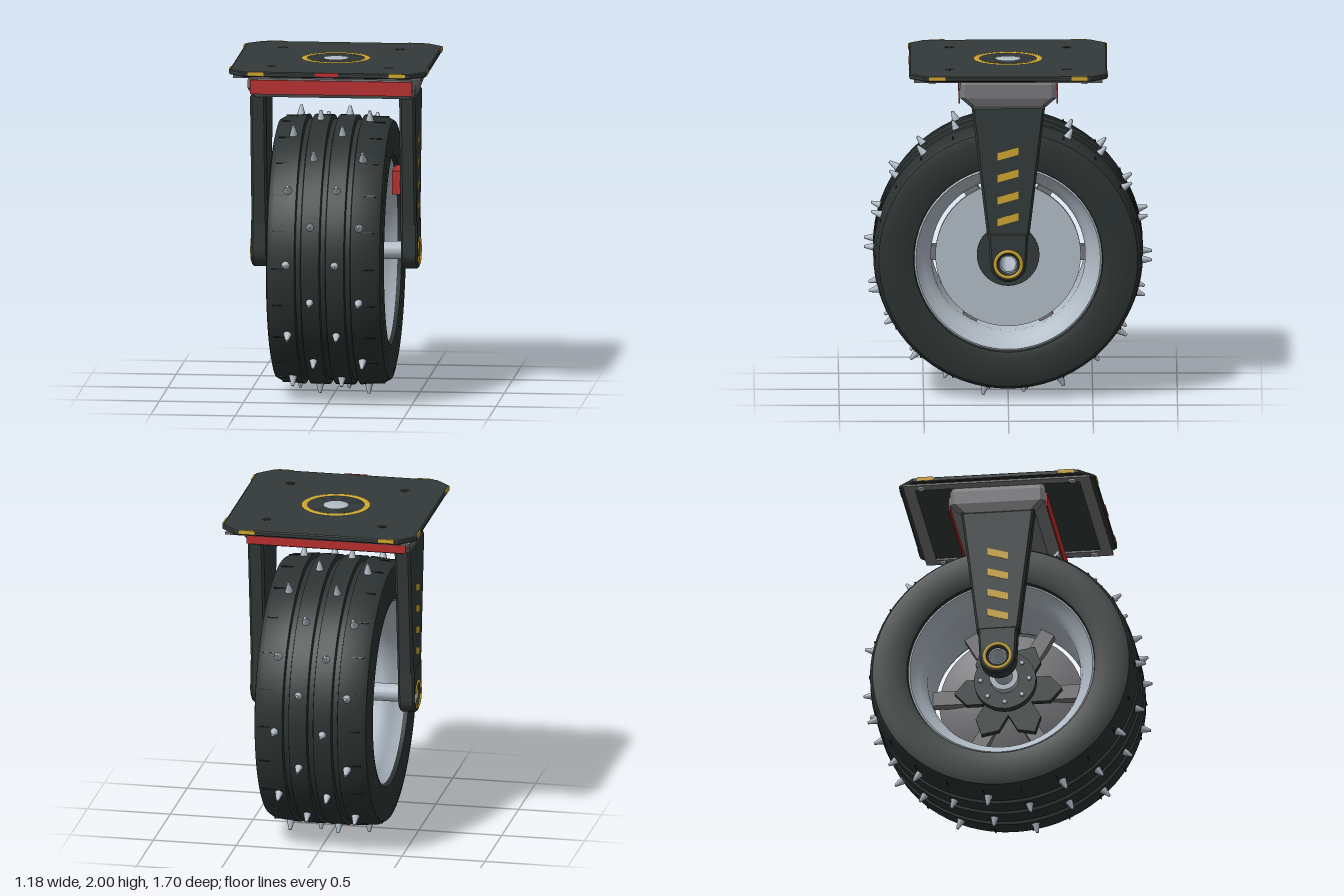
import * as THREE from 'three';
import { toCreasedNormals } from 'three/addons/utils/BufferGeometryUtils.js';
import { ConvexGeometry } from 'three/addons/geometries/ConvexGeometry.js';

const mat = (name, color) => Object.assign(new THREE.MeshStandardMaterial({ color }), { name });

export function createModel() {
  const rubber = mat('black rubber', 0x2b3231);
  const paint = mat('dark paint', 0x323a39);
  const black = mat('recess black', 0x1b1f1f);
  const silver = mat('silver', 0xb2bcc6);
  const grey = mat('grey steel', 0x77777a);
  const gold = mat('gold', 0xcfa62e);
  const red = mat('red', 0xb82e2e);

  const model = new THREE.Group();
  model.name = 'casterWheel';
  const wheel = new THREE.Group();
  wheel.name = 'wheel';
  wheel.position.y = 0.85;
  model.add(wheel);

  const add = (parent, name, geo, material, x = 0, y = 0, z = 0) => {
    const m = new THREE.Mesh(geo, material);
    m.name = name;
    m.position.set(x, y, z);
    parent.add(m);
    return m;
  };
  const box = (w, h, d) => new THREE.BoxGeometry(w, h, d);
  // Closed profile of [radius, x] points turned about the x axis
  const turned = (pts, seg = 64) => {
    const v = [...pts, pts[0]].map(([r, x]) => new THREE.Vector2(r, x));
    return toCreasedNormals(new THREE.LatheGeometry(v, seg).rotateZ(-Math.PI / 2), 0.6);
  };
  const ring = (r0, r1, x0, x1, seg) => turned([[r0, x0], [r1, x0], [r1, x1], [r0, x1]], seg);
  const polygon = pts => new THREE.Shape(pts.map(([a, b]) => new THREE.Vector2(a, b)));
  // Side profile given as (-z, y), extruded along x and centred on x = 0
  const sideExtrude = (shape, width, bevel) => new THREE.ExtrudeGeometry(shape, {
    depth: width - 2 * bevel, bevelEnabled: bevel > 0, bevelSize: bevel, bevelThickness: bevel,
    bevelOffset: -bevel, bevelSegments: 1, curveSegments: 20,
  }).translate(0, 0, bevel - width / 2).rotateY(Math.PI / 2);

  // Tyre with four ribs and three grooves
  const profile = [[0.55, -0.29], [0.56, -0.335], [0.6, -0.345], [0.72, -0.345], [0.765, -0.335], [0.785, -0.3]];
  for (const g of [-0.15, -0.003, 0.144]) {
    const r = 0.798;
    profile.push([r, g - 0.02], [r - 0.025, g - 0.014], [r - 0.025, g + 0.014], [r, g + 0.02]);
  }
  profile.push([0.785, 0.3], [0.765, 0.335], [0.72, 0.345], [0.6, 0.345], [0.56, 0.335], [0.55, 0.29]);
  add(wheel, 'tyre', turned(profile, 72), rubber);

  // Spikes in staggered rows, and cuts in the tyre shoulders
  const spikeGeo = new THREE.CylinderGeometry(0.008, 0.028, 0.07, 10).translate(0, 0.816, 0);
  const cutGeo = box(0.08, 0.006, 0.008).translate(0, 0.788, 0);
  const step = Math.PI / 11;
  const spikes = new THREE.Group();
  spikes.name = 'spikes';
  wheel.add(spikes);
  [-0.22, -0.08, 0.07, 0.21].forEach((x, row) => {
    for (let i = 0; i < 11; i++) {
      const t = Math.PI / 2 - 0.032 - (2 * i + row % 2) * step;
      add(spikes, 'spike', spikeGeo, silver, x).rotation.x = t;
    }
  });
  for (const s of [-1, 1]) {
    for (let i = 0; i < 22; i++) {
      add(wheel, 'shoulderCut', cutGeo, black, s * 0.265).rotation.x = (i + 0.5) * step;
    }
  }

  // Rim with dished lips, open through the middle
  add(wheel, 'rim', turned([
    [0.556, -0.31], [0.556, 0.31], [0.545, 0.315], [0.53, 0.29], [0.5, 0.25], [0.472, 0.225], [0.456, 0.18],
    [0.456, -0.18], [0.472, -0.225], [0.5, -0.25], [0.53, -0.29], [0.545, -0.315],
  ]), silver);

  // Wheel disc with its steel backing
  add(wheel, 'disc', ring(0.055, 0.43, 0.16, 0.19), silver);
  add(wheel, 'discBacking', turned([[0.055, 0.06], [0.2, 0.08], [0.35, 0.12], [0.43, 0.16], [0.055, 0.16]]), grey);

  // Six spokes joining hub and rim
  const rootShape = polygon([[-0.08, 0.1], [0.08, 0.1], [0.08, 0.25], [0, 0.32], [-0.08, 0.25]]);
  const rootGeo = sideExtrude(rootShape, 0.04, 0);
  const spokeGeo = box(0.06, 0.27, 0.09).translate(0, 0.33, 0);
  for (let i = 0; i < 6; i++) {
    const t = Math.PI / 2 + i * Math.PI / 3;
    add(wheel, 'spoke', spokeGeo, grey, 0.09).rotation.x = t;
    add(wheel, 'spokeRoot', rootGeo, paint, 0.02).rotation.x = t;
  }

  // Hub, bolted flanges and hollow axle
  add(wheel, 'hubBarrel', ring(0.055, 0.11, -0.14, 0.19, 32), paint);
  add(wheel, 'hubFlangeLeft', ring(0.05, 0.185, 0.185, 0.205, 40), paint);
  add(wheel, 'hubFlangeRight', ring(0.05, 0.185, -0.15, -0.1, 40), paint);
  add(wheel, 'bearingCollar', ring(0.05, 0.085, -0.2, -0.15, 32), silver);
  add(wheel, 'axle', ring(0.045, 0.053, -0.485, 0.485, 32), silver);
  const boltGeo = new THREE.CylinderGeometry(0.014, 0.014, 0.02, 6).rotateZ(Math.PI / 2);
  for (let i = 0; i < 8; i++) {
    const a = i * Math.PI / 4;
    add(wheel, 'hubBolt', boltGeo, silver, -0.156, 0.145 * Math.cos(a), 0.145 * Math.sin(a));
  }

  // Fork legs with axle ends and hazard stripes
  const legGeo = sideExtrude(polygon([[-0.125, 1.02], [0.125, 1.02], [0.218, 1.8], [-0.218, 1.8]]), 0.095, 0.014);
  const endShape = new THREE.Shape();
  endShape.moveTo(0.118, 1.04);
  endShape.lineTo(-0.118, 1.04);
  endShape.lineTo(-0.108, 0.85);
  endShape.absarc(0, 0.85, 0.108, Math.PI, Math.PI * 2, false);
  endShape.closePath();
  endShape.holes.push(new THREE.Path().absarc(0, 0.85, 0.053, 0, Math.PI * 2, true));
  const endGeo = sideExtrude(endShape, 0.1, 0.012);
  const stripeGeo = sideExtrude(polygon([[-0.063, -0.04], [0.06, -0.005], [0.06, 0.04], [-0.063, 0.005]]), 0.008, 0);
  const ringGeo = new THREE.TorusGeometry(0.078, 0.012, 8, 28).rotateY(Math.PI / 2);
  for (const s of [-1, 1]) {
    const fork = new THREE.Group();
    fork.name = s > 0 ? 'forkLegLeft' : 'forkLegRight';
    model.add(fork);
    add(fork, 'leg', legGeo, paint, s * 0.443);
    add(fork, 'axleEnd', endGeo, paint, s * 0.445);
    add(fork, 'axleRing', ringGeo, gold, s * 0.49, 0.85);
    for (const y of [1.12, 1.25, 1.383, 1.515]) add(fork, 'stripe', stripeGeo, gold, s * 0.49, y);
  }
  add(model, 'brakePad', box(0.055, 0.14, 0.22), red, 0.37, 1.27);

  // Swivel housing with tapered underside and red panels
  const corners = [];
  for (const [y, hx, hz] of [[1.79, 0.48, 0.22], [1.85, 0.5, 0.285], [1.93, 0.498, 0.285], [1.965, 0.485, 0.27]]) {
    for (const sx of [-1, 1]) {
      for (const sz of [-1, 1]) {
        corners.push(new THREE.Vector3(sx * hx, y, sz * (hz - 0.03)), new THREE.Vector3(sx * (hx - 0.02), y, sz * hz));
      }
    }
  }
  add(model, 'housing', new ConvexGeometry(corners), grey);
  for (const s of [-1, 1]) add(model, 'redPanel', box(0.96, 0.085, 0.009), red, 0, 1.86, s * 0.29);

  // Mounting plate with cut corners, over a square steel frame
  const h = 0.585, c = 0.495;
  const plateShape = polygon([[h, -c], [h, c], [c, h], [-c, h], [-h, c], [-h, -c], [-c, -h], [c, -h]]);
  const plateGeo = new THREE.ExtrudeGeometry(plateShape, {
    depth: 0.018, bevelSize: 0.008, bevelThickness: 0.006, bevelOffset: -0.008, bevelSegments: 1,
  }).rotateX(-Math.PI / 2);
  add(model, 'mountingPlate', plateGeo, paint, 0, 1.972);
  const square = k => [[-k, -k], [k, -k], [k, k], [-k, k]];
  const frameShape = polygon(square(0.557));
  frameShape.holes.push(polygon(square(0.49)));
  const frameGeo = new THREE.ExtrudeGeometry(frameShape, { depth: 0.012, bevelEnabled: false }).rotateX(-Math.PI / 2);
  add(model, 'underFrame', frameGeo, grey, 0, 1.955);

  // Bolts, edge marks and the swivel cap
  const recessGeo = new THREE.CylinderGeometry(0.028, 0.028, 0.004, 8);
  const nutGeo = new THREE.CylinderGeometry(0.022, 0.022, 0.014, 6);
  for (const sx of [-1, 1]) {
    for (const sz of [-1, 1]) {
      add(model, 'boltRecess', recessGeo, black, sx * 0.347, 1.995, sz * 0.347);
      add(model, 'frameBolt', nutGeo, silver, sx * 0.52, 1.952, sz * 0.45);
      add(model, 'edgeMark', box(0.096, 0.024, 0.008), gold, sx * 0.42, 1.985, sz * 0.584);
      add(model, 'edgeMark', box(0.008, 0.024, 0.096), gold, sx * 0.584, 1.985, sz * 0.42);
    }
  }
  add(model, 'frontMark', box(0.14, 0.024, 0.008), red, 0, 1.985, 0.584);
  add(model, 'swivelRing', new THREE.TorusGeometry(0.187, 0.02, 8, 32).rotateX(Math.PI / 2).scale(1, 0.4, 1), gold, 0, 1.992);
  add(model, 'swivelCap', new THREE.CylinderGeometry(0.168, 0.168, 0.01, 32), rubber, 0, 1.991);
  const dome = new THREE.SphereGeometry(0.075, 24, 8, 0, Math.PI * 2, 0, Math.PI / 2).scale(1, 0.12, 1);
  add(model, 'swivelDome', dome, silver, 0, 1.994);

  return model;
}
